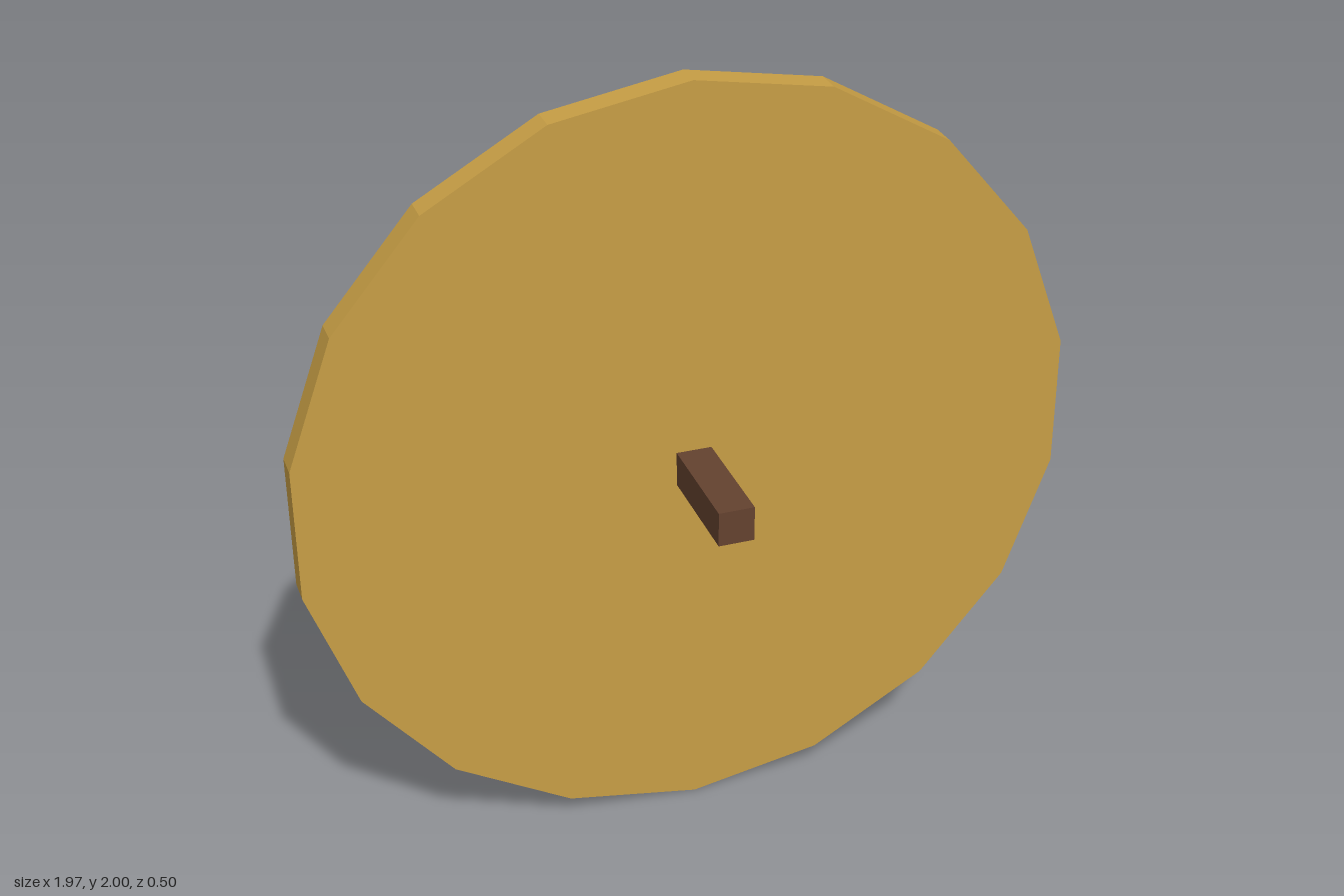
import * as THREE from 'three';

export function createModel() {
  const group = new THREE.Group();
  const material = (name, color) => {
    const m = new THREE.MeshStandardMaterial({ color, flatShading: true });
    m.name = name;
    return m;
  };
  const gold = material('gold', 0xc79e45);
  const blue = material('blue', 0x3a5a88);
  const brown = material('brown', 0x64422f);

  const add = (name, geometry, mat, x, y, z) => {
    const mesh = new THREE.Mesh(geometry, mat);
    mesh.name = name;
    mesh.position.set(x, y, z);
    group.add(mesh);
  };

  // Disc whose axis runs along z; the first radius is at its back (-z) end
  const disc = (rBack, rFront, depth, sides) =>
    new THREE.CylinderGeometry(rBack, rFront, depth, sides).rotateX(-Math.PI / 2);

  // Shield body: gold rim plate and bevelled blue field
  add('rimPlate', disc(1, 1, 0.07, 18), gold, 0, 1, -0.088);
  add('field', disc(0.857, 0.925, 0.08, 18), blue, 0, 1, -0.163);

  // Grip
  add('handle', new THREE.BoxGeometry(0.09, 0.09, 0.303), brown, 0, 1, 0.0965);

  // Raised horse head emblem: snout, brow, ear, mane, neck, jaw
  const outline = [
    [0.59, 1.1], [0.49, 1.18], [0.25, 1.305], [0.125, 1.405],
    [0.093, 1.595], [0.0, 1.44], [-0.11, 1.44], [-0.18, 1.4],
    [-0.265, 1.31], [-0.31, 1.23], [-0.38, 1.145], [-0.4, 1.03],
    [-0.468, 0.945], [-0.415, 0.865], [-0.45, 0.77], [-0.41, 0.67],
    [-0.435, 0.575], [-0.36, 0.495], [0.047, 0.495], [0.093, 0.735],
    [0.164, 0.92], [0.4, 0.95], [0.571, 1.0],
  ];
  const head = new THREE.Shape(outline.map(([x, y]) => new THREE.Vector2(x, y)));
  add('horseHead', new THREE.ExtrudeGeometry(head, { depth: 0.03, bevelEnabled: false }),
    gold, 0, 0, -0.231);

  // Eye stud
  add('eye', disc(0.043, 0.043, 0.045, 10), brown, 0.233, 1.285, -0.2245);

  return group;
}
